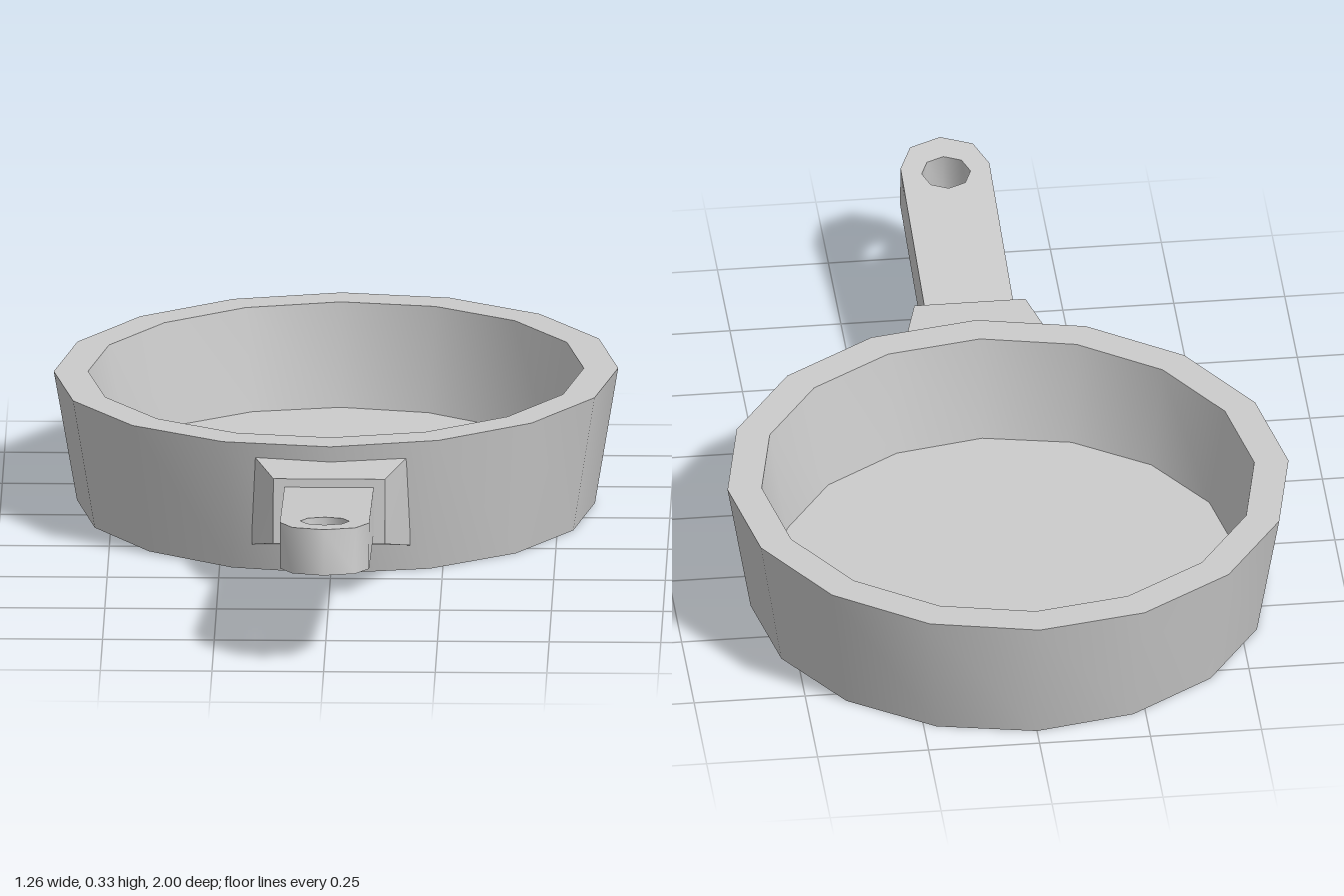
import * as THREE from 'three';
import { toCreasedNormals } from 'three/addons/utils/BufferGeometryUtils.js';

const PAN_Z = -0.37;
const material = new THREE.MeshStandardMaterial({ color: 0xcccccc });

function part(name, geometry) {
  const mesh = new THREE.Mesh(toCreasedNormals(geometry, 0.9), material);
  mesh.name = name;
  return mesh;
}

// Sixteen-sided flared pan with a thick wall and a very slightly tilted rim
function panGeometry() {
  const profile = [[0, 0], [0.58, 0], [0.632, 0.307], [0.555, 0.307], [0.515, 0.07], [0, 0.07]];
  const geo = new THREE.LatheGeometry(profile.map(([r, y]) => new THREE.Vector2(r, y)), 16);
  const p = geo.attributes.position;
  for (let i = 0; i < p.count; i++) {
    if (p.getY(i) > 0.2) p.setY(i, p.getY(i) + 0.012 * p.getX(i) + 0.005 * p.getZ(i));
  }
  return geo.translate(0, 0, PAN_Z);
}

// Tapered block joining the wall to the handle
function bracketGeometry() {
  const geo = new THREE.BoxGeometry(2, 2, 2);
  const p = geo.attributes.position;
  for (let i = 0; i < p.count; i++) {
    const front = p.getZ(i) > 0, top = p.getY(i) > 0;
    const x = front ? 0.125 : 0.177;
    const y = top ? 0.273 : front ? 0.127 : 0.061;
    const z = front ? (top ? 0.392 : 0.408) : 0.19;
    p.setXYZ(i, Math.sign(p.getX(i)) * x, y, z);
  }
  return geo;
}

// Flat bar with a rounded end and a hanging hole, rising towards the tip
function handleGeometry() {
  const w = 0.1, end = 0.53, holeR = 0.055, holeAt = 0.507;
  const shape = new THREE.Shape([[-w, 0], [w, 0]].map(([x, y]) => new THREE.Vector2(x, y)));
  const hole = [];
  for (let i = 0; i <= 4; i++) {
    const a = (i * Math.PI) / 4;
    shape.lineTo(w * Math.cos(a), end + w * Math.sin(a));
  }
  for (let i = 0; i < 8; i++) {
    const a = (-i * Math.PI) / 4;
    hole.push(new THREE.Vector2(holeR * Math.cos(a), holeAt + holeR * Math.sin(a)));
  }
  shape.holes.push(new THREE.Path(hole));
  return new THREE.ExtrudeGeometry(shape, { depth: 0.104, bevelEnabled: false })
    .rotateX(Math.PI / 2 - 0.123)
    .translate(0, 0.25, 0.362);
}

export function createModel() {
  const group = new THREE.Group();
  group.name = 'fryingPan';
  group.add(
    part('pan', panGeometry()),
    part('handleBracket', bracketGeometry()),
    part('handle', handleGeometry())
  );
  return group;
}
